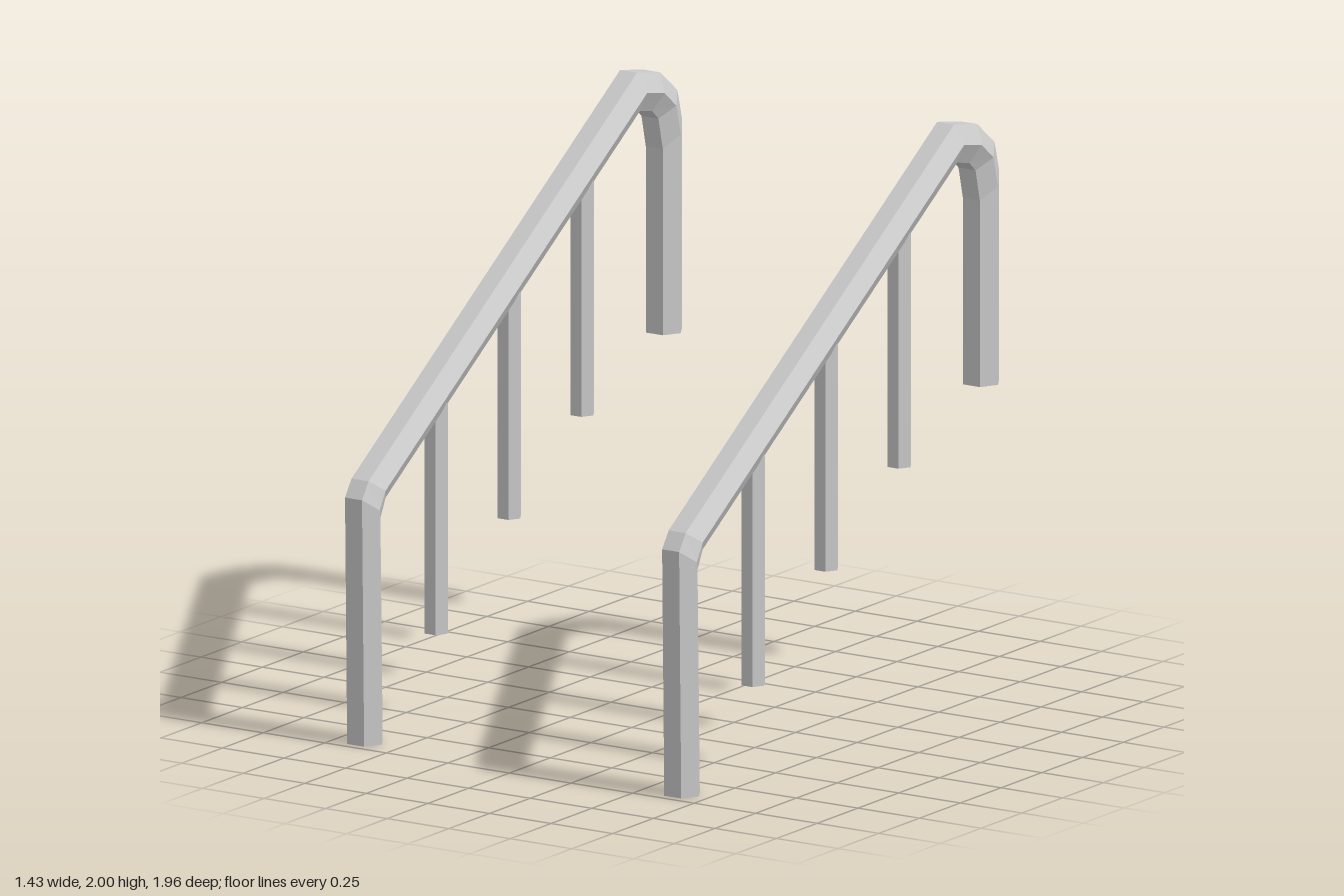
import * as THREE from 'three';

const material = new THREE.MeshStandardMaterial({
  color: 0xcccccc, flatShading: true, side: THREE.DoubleSide,
});
const RAIL_X = 0.644, RAIL_R = 0.069, SIDES = 6;

// Rail cross-sections from the front foot to the rear end: outer z, y and inner z, y
const SECTIONS = [
  [0.971, 0, 0.857, 0],
  [0.984, 0.864, 0.871, 0.779],
  [0.944, 0.922, 0.839, 0.843],
  [-0.703, 2, -0.722, 1.863],
  [-0.844, 1.972, -0.796, 1.846],
  [-0.951, 1.887, -0.834, 1.812],
  [-0.978, 1.786, -0.861, 1.7],
  [-0.978, 1.049, -0.861, 1.049],
];

// Balusters: z and bottom y
const BALUSTERS = [[0.477, 0.291], [0.029, 0.599], [-0.419, 0.864]];

// Hexagonal tube swept through the mitred sections
function railGeometry() {
  const rings = SECTIONS.map(([zo, yo, zi, yi]) =>
    Array.from({ length: SIDES }, (_, j) => {
      const a = (j / SIDES) * Math.PI * 2;
      const s = Math.sin(a) / Math.sin(Math.PI / 3) / 2;
      return [Math.cos(a) * RAIL_R, (yo + yi) / 2 + s * (yo - yi), (zo + zi) / 2 + s * (zo - zi)];
    }));
  const pos = [];
  const tri = (...corners) => corners.forEach((p) => pos.push(...p));
  for (let i = 0; i < rings.length - 1; i++) {
    for (let j = 0; j < SIDES; j++) {
      const k = (j + 1) % SIDES;
      const [a, b, c, d] = [rings[i][j], rings[i + 1][j], rings[i + 1][k], rings[i][k]];
      tri(a, b, c);
      tri(a, c, d);
    }
  }
  // Rear end is closed, the front foot is an open tube
  const end = rings[rings.length - 1];
  for (let j = 1; j < SIDES - 1; j++) tri(end[0], end[j + 1], end[j]);
  const geometry = new THREE.BufferGeometry();
  geometry.setAttribute('position', new THREE.Float32BufferAttribute(pos, 3));
  geometry.computeVertexNormals();
  return geometry;
}

// Height of the sloping rail's underside at a given z
const undersideY = (z) => 0.843 + (0.839 - z) * (1.863 - 0.843) / (0.839 + 0.722);

function createHandrail(name) {
  const group = new THREE.Group();
  group.name = name;
  const rail = new THREE.Mesh(railGeometry(), material);
  rail.name = 'rail';
  group.add(rail);
  BALUSTERS.forEach(([z, bottom], i) => {
    const height = undersideY(z) + 0.06 - bottom;
    const geometry = new THREE.CylinderGeometry(0.0445, 0.0445, height, SIDES, 1, false, Math.PI / 2);
    const baluster = new THREE.Mesh(geometry, material);
    baluster.name = `baluster${i + 1}`;
    baluster.position.set(0, bottom + height / 2, z);
    group.add(baluster);
  });
  return group;
}

export function createModel() {
  const model = new THREE.Group();
  model.name = 'stairHandrails';
  for (const [name, side] of [['leftHandrail', 1], ['rightHandrail', -1]]) {
    const handrail = createHandrail(name);
    handrail.position.x = side * RAIL_X;
    model.add(handrail);
  }
  return model;
}
